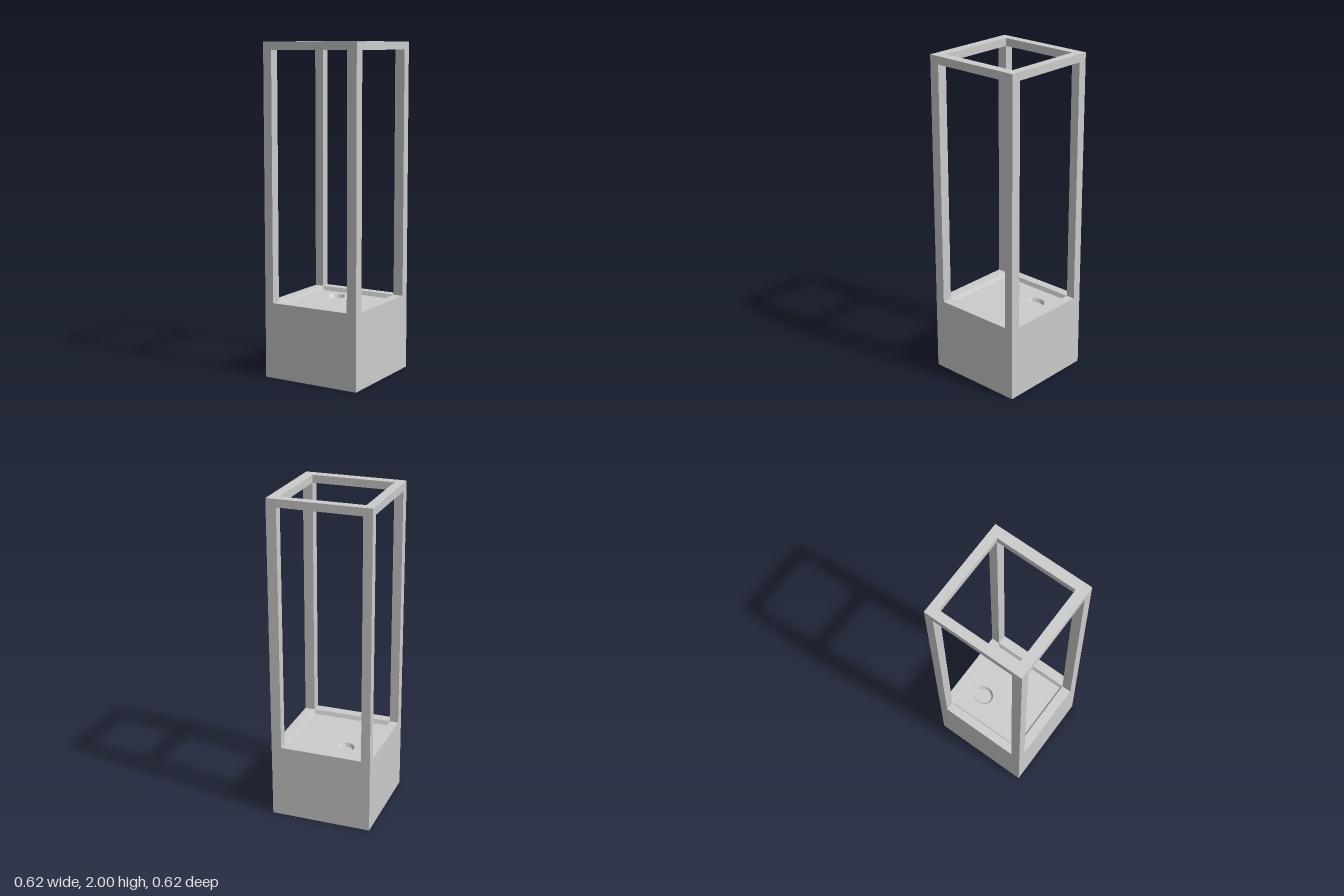
import * as THREE from 'three';

const material = new THREE.MeshStandardMaterial({ color: 0xcccccc, flatShading: true, side: THREE.DoubleSide });

const OUT = 0.312;               // half width of the body
const LO = -0.257, HI = 0.25;    // limits of the openings, in x and z
const RIM = 0.46, FLOOR = 0.435, BEAM = 1.952, TOP = 2;
const CUP_Y = 0.413, CUP = [-0.092, -0.133];

// Corner loops as [x, z]
const square = (lo, hi) => [[lo, lo], [lo, hi], [hi, hi], [hi, lo]];
function oval(rx, rz, n = 14) {
  const pts = [];
  for (let i = 0; i < n; i++) {
    const a = ((i + 0.5) / n) * Math.PI * 2;
    pts.push([CUP[0] + rx * Math.sin(a), CUP[1] + rz * Math.cos(a)]);
  }
  return pts;
}

// Band of flat quads joining a lower loop to an upper loop, facing outwards
function band(low, y0, high, y1) {
  const pos = [];
  low.forEach((a, i) => {
    const j = (i + 1) % low.length;
    const A = [a[0], y0, a[1]], B = [low[j][0], y0, low[j][1]];
    const C = [high[j][0], y1, high[j][1]], D = [high[i][0], y1, high[i][1]];
    pos.push(...A, ...B, ...C, ...A, ...C, ...D);
  });
  const g = new THREE.BufferGeometry();
  g.setAttribute('position', new THREE.Float32BufferAttribute(pos, 3));
  g.computeVertexNormals();
  return g;
}

// Horizontal outline with an optional hole; shape y is -z
function outline(loop, hole) {
  const points = (l) => l.map(([x, z]) => new THREE.Vector2(x, -z));
  const shape = new THREE.Shape(points(loop));
  if (hole) shape.holes.push(new THREE.Path(points(hole)));
  return shape;
}
const plate = (loop, hole, y) =>
  new THREE.ShapeGeometry(outline(loop, hole)).rotateX(-Math.PI / 2).translate(0, y, 0);

export function createModel() {
  const model = new THREE.Group();
  const add = (name, geometry) => {
    const mesh = new THREE.Mesh(geometry, material);
    mesh.name = name;
    model.add(mesh);
    return mesh;
  };

  const outer = square(-OUT, OUT);
  const opening = square(LO, HI);
  const floorEdge = square(-0.246, 0.238);
  const cupTop = oval(0.059, 0.066), cupBottom = oval(0.049, 0.055);

  // Hollow base, open underneath, with a sunken floor and a small oval cup
  add('baseWalls', band(outer, 0, outer, RIM));
  add('baseRim', plate(outer, opening, RIM));
  add('recessSides', band(opening, RIM, floorEdge, FLOOR));
  add('recessFloor', plate(floorEdge, cupTop, FLOOR));
  add('cupSides', band(cupTop, FLOOR, cupBottom, CUP_Y));
  add('cupBottom', plate(cupBottom, null, CUP_Y));

  // Four corner posts
  const spans = [[-OUT, LO], [HI, OUT]];
  for (const [x0, x1] of spans) {
    for (const [z0, z1] of spans) {
      const post = add('cornerPost', new THREE.BoxGeometry(x1 - x0, BEAM - RIM, z1 - z0));
      post.position.set((x0 + x1) / 2, (RIM + BEAM) / 2, (z0 + z1) / 2);
    }
  }

  // Square frame on top of the posts
  const frame = new THREE.ExtrudeGeometry(outline(outer, opening), { depth: TOP - BEAM, bevelEnabled: false });
  add('topFrame', frame.rotateX(-Math.PI / 2).translate(0, BEAM, 0));

  return model;
}
